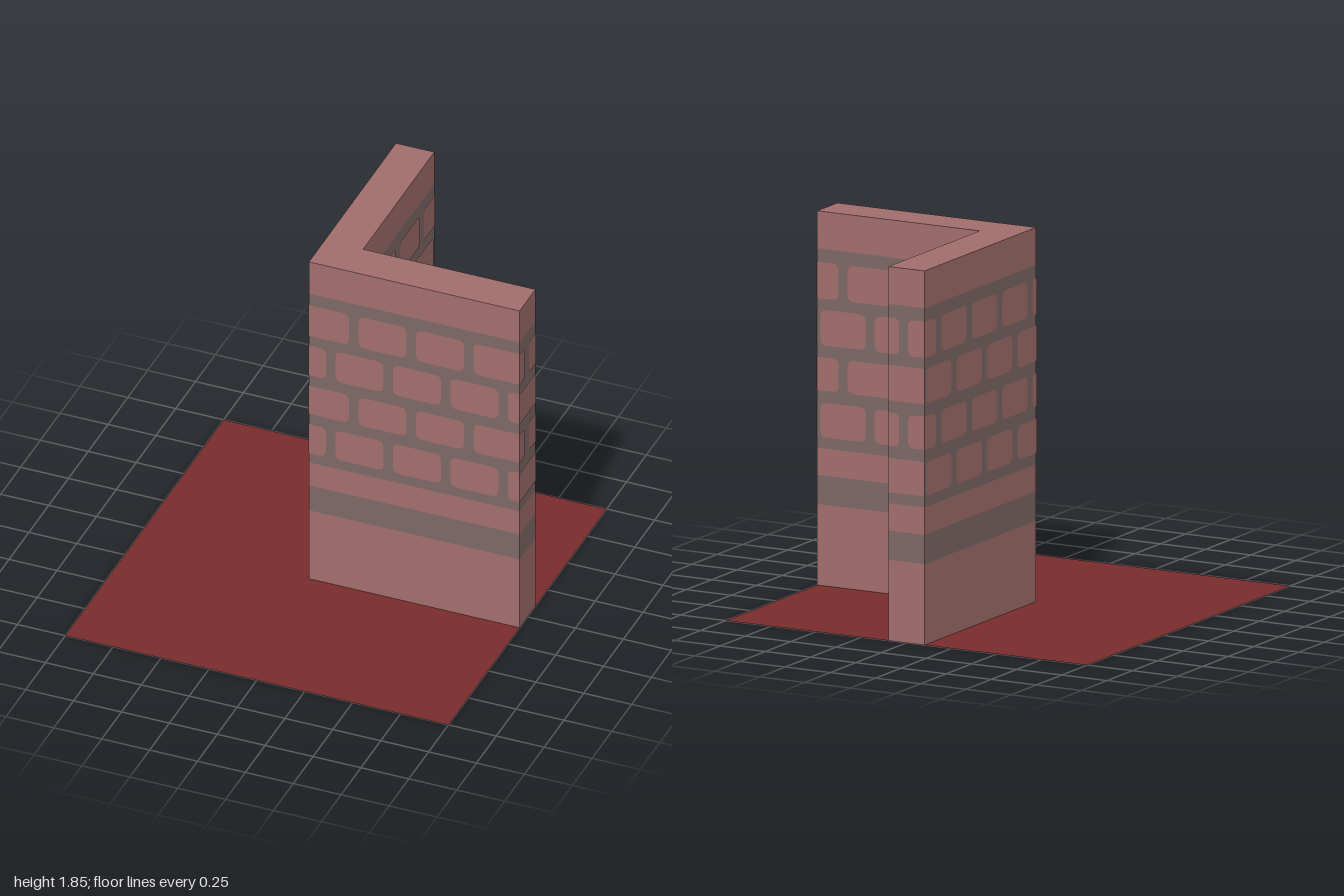
import * as THREE from 'three';

const brickMat = new THREE.MeshStandardMaterial({ color: 0xa16e6c, side: THREE.DoubleSide });
brickMat.name = 'dusty pink brick';
const mortarMat = new THREE.MeshStandardMaterial({ color: 0x7d6866, side: THREE.DoubleSide });
mortarMat.name = 'grey mortar';
const floorMat = new THREE.MeshStandardMaterial({ color: 0x782b2b, side: THREE.DoubleSide });
floorMat.name = 'dark red floor';

const HEIGHT = 1.85, PITCH = 0.3, GAP = 0.05;

// Horizontal bands of the wall: bottom, top, material
const BANDS = [
  [0, 0.4, brickMat], [0.4, 0.545, mortarMat], [0.545, 0.68, brickMat],
  [0.68, 1.665, mortarMat], [1.665, HEIGHT, brickMat],
];
// Brick courses: bottom, top, which joint offset they use
const COURSES = [[0.735, 0.905, 1], [0.965, 1.13, 0], [1.19, 1.365, 1], [1.42, 1.6, 0]];

// Wall faces: start corner, turn about y, length, joint centres of the two kinds of course
const FACES = [
  { name: 'frontFace', x: -0.1, z: 0.1, turn: 0, length: 1.1, joints: [0.235, 0.115] },
  { name: 'leftEnd', x: 1, z: 0.1, turn: Math.PI / 2, length: 0.2, joints: [0.085, 0.235] },
  { name: 'innerBackFace', x: 1, z: -0.1, turn: Math.PI, length: 0.9, joints: [0.145, 0.295] },
  { name: 'innerLeftFace', x: 0.1, z: -0.1, turn: Math.PI / 2, length: 0.9, joints: [0.135, 0.01] },
  { name: 'backEnd', x: 0.1, z: -1, turn: Math.PI, length: 0.2, joints: [0.085, 0.235] },
  { name: 'rightFace', x: -0.1, z: -1, turn: -Math.PI / 2, length: 1.1, joints: [0.135, 0.285] },
];

function polygon(points) {
  return new THREE.Shape(points.map(([x, y]) => new THREE.Vector2(x, y)));
}

// Brick outline; ends cut off by a wall corner stay square
function brickShape(a, b, y0, y1, roundA, roundB) {
  const r = Math.min(0.035, (b - a) / 2);
  const ra = roundA ? r : 0, rb = roundB ? r : 0;
  const s = new THREE.Shape();
  s.moveTo(a + ra, y0);
  s.lineTo(b - rb, y0);
  if (rb) s.quadraticCurveTo(b, y0, b, y0 + rb);
  s.lineTo(b, y1 - rb);
  if (rb) s.quadraticCurveTo(b, y1, b - rb, y1);
  s.lineTo(a + ra, y1);
  if (ra) s.quadraticCurveTo(a, y1, a, y1 - ra);
  s.lineTo(a, y0 + ra);
  if (ra) s.quadraticCurveTo(a, y0, a + ra, y0);
  return s;
}

function wallFace({ name, x, z, turn, length, joints }) {
  const face = new THREE.Group();
  face.name = name;
  face.position.set(x, 0, z);
  face.rotation.y = turn;

  for (const [y0, y1, material] of BANDS) {
    const band = new THREE.Mesh(new THREE.PlaneGeometry(length, y1 - y0), material);
    band.name = 'wallBand';
    band.position.set(length / 2, (y0 + y1) / 2, 0);
    face.add(band);
  }

  const shapes = [];
  for (const [y0, y1, kind] of COURSES) {
    for (let joint = joints[kind] - PITCH; joint < length; joint += PITCH) {
      const start = joint + GAP / 2, end = joint + PITCH - GAP / 2;
      const a = Math.max(0, start), b = Math.min(length, end);
      if (b - a > 0.015) shapes.push(brickShape(a, b, y0, y1, start > 0, end < length));
    }
  }
  const bricks = new THREE.Mesh(new THREE.ShapeGeometry(shapes, 4), brickMat);
  bricks.name = 'bricks';
  bricks.position.z = 0.003;
  face.add(bricks);
  return face;
}

// Flat horizontal sheet from [x, z] corners
function sheet(name, corners, y, material) {
  const geometry = new THREE.ShapeGeometry(polygon(corners.map(([x, z]) => [x, -z])));
  geometry.rotateX(-Math.PI / 2);
  const mesh = new THREE.Mesh(geometry, material);
  mesh.name = name;
  mesh.position.y = y;
  return mesh;
}

export function createModel() {
  const model = new THREE.Group();
  model.name = 'cornerWall';

  // Wall, open underneath
  const wall = new THREE.Group();
  wall.name = 'wall';
  FACES.forEach((f) => wall.add(wallFace(f)));
  const footprint = FACES.map(({ x, z }) => [x, z]);
  wall.add(sheet('wallTop', footprint, HEIGHT, brickMat));
  model.add(wall);

  // Floor on both sides of the wall
  model.add(sheet('outerFloor',
    [[-1, 1], [1, 1], [1, 0.1], [-0.1, 0.1], [-0.1, -1], [-1, -1]], 0, floorMat));
  model.add(sheet('innerFloor',
    [[0.1, -0.1], [1, -0.1], [1, -1], [0.1, -1]], 0, floorMat));
  return model;
}
